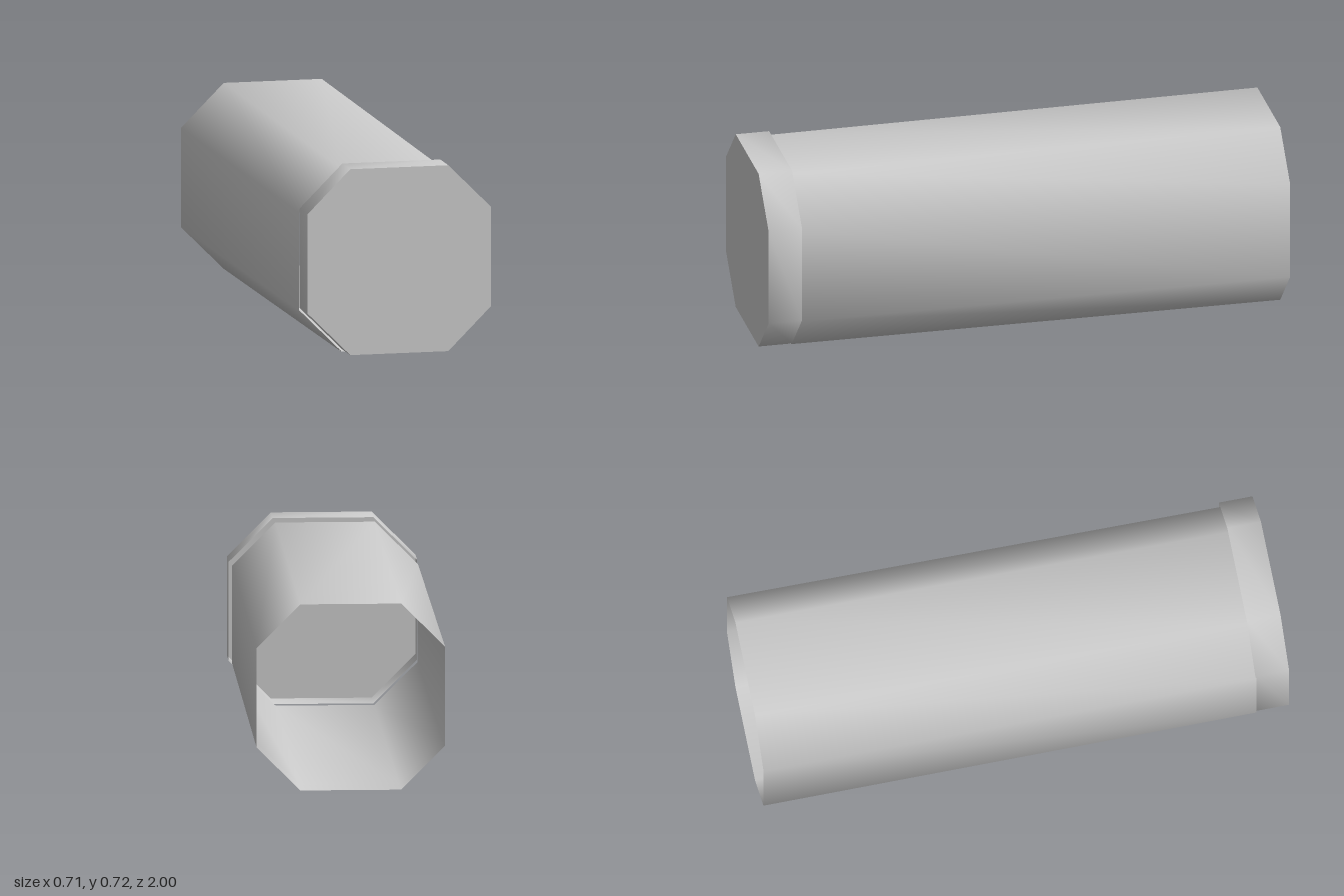
import * as THREE from 'three';

const material = new THREE.MeshStandardMaterial({ color: 0xcccccc, side: THREE.DoubleSide });

// Corners of a square with cut corners: reach = half width, cut ratio shared by all rings
function octagon(reach) {
  const h = reach * 0.534;
  return [
    [h, -reach], [reach, -h], [reach, h], [h, reach],
    [-h, reach], [-reach, h], [-reach, -h], [-h, -reach],
  ].map(([x, y]) => new THREE.Vector2(x, y));
}

// Smooth octagonal sleeve through rings of [z, reach], listed back to front
function sleeve(rings) {
  const positions = [];
  const index = [];
  rings.forEach(([z, reach], r) => {
    octagon(reach).forEach((p, i) => {
      positions.push(p.x, p.y, z);
      if (r === rings.length - 1) return;
      const a = r * 8 + i;
      const b = r * 8 + (i + 1) % 8;
      index.push(a, b, b + 8, a, b + 8, a + 8);
    });
  });
  const geometry = new THREE.BufferGeometry();
  geometry.setAttribute('position', new THREE.Float32BufferAttribute(positions, 3));
  geometry.setIndex(index);
  geometry.computeVertexNormals();
  return geometry;
}

function part(name, geometry, x, y, z = 0) {
  const mesh = new THREE.Mesh(geometry, material);
  mesh.name = name;
  mesh.position.set(x, y, z);
  return mesh;
}

export function createModel() {
  const model = new THREE.Group();
  model.name = 'cappedTube';

  // Long tube, open at the back and slightly narrower at the front
  model.add(part('tube', sleeve([[-1, 0.352], [0.875, 0.347]]), -0.005, 0.353));

  // Thin lining set back from the rear opening
  model.add(part('lining', sleeve([[-0.9, 0.349], [0.872, 0.3455]]), -0.005, 0.353));

  // Front cap, sitting a little off the tube's axis
  const cap = new THREE.Group();
  cap.name = 'cap';
  cap.add(part('capWall', sleeve([[0.872, 0.352], [1, 0.352]]), 0.003, 0.3655));
  cap.add(part('capFace', new THREE.ShapeGeometry(new THREE.Shape(octagon(0.352))), 0.003, 0.3655, 1));
  model.add(cap);

  return model;
}
